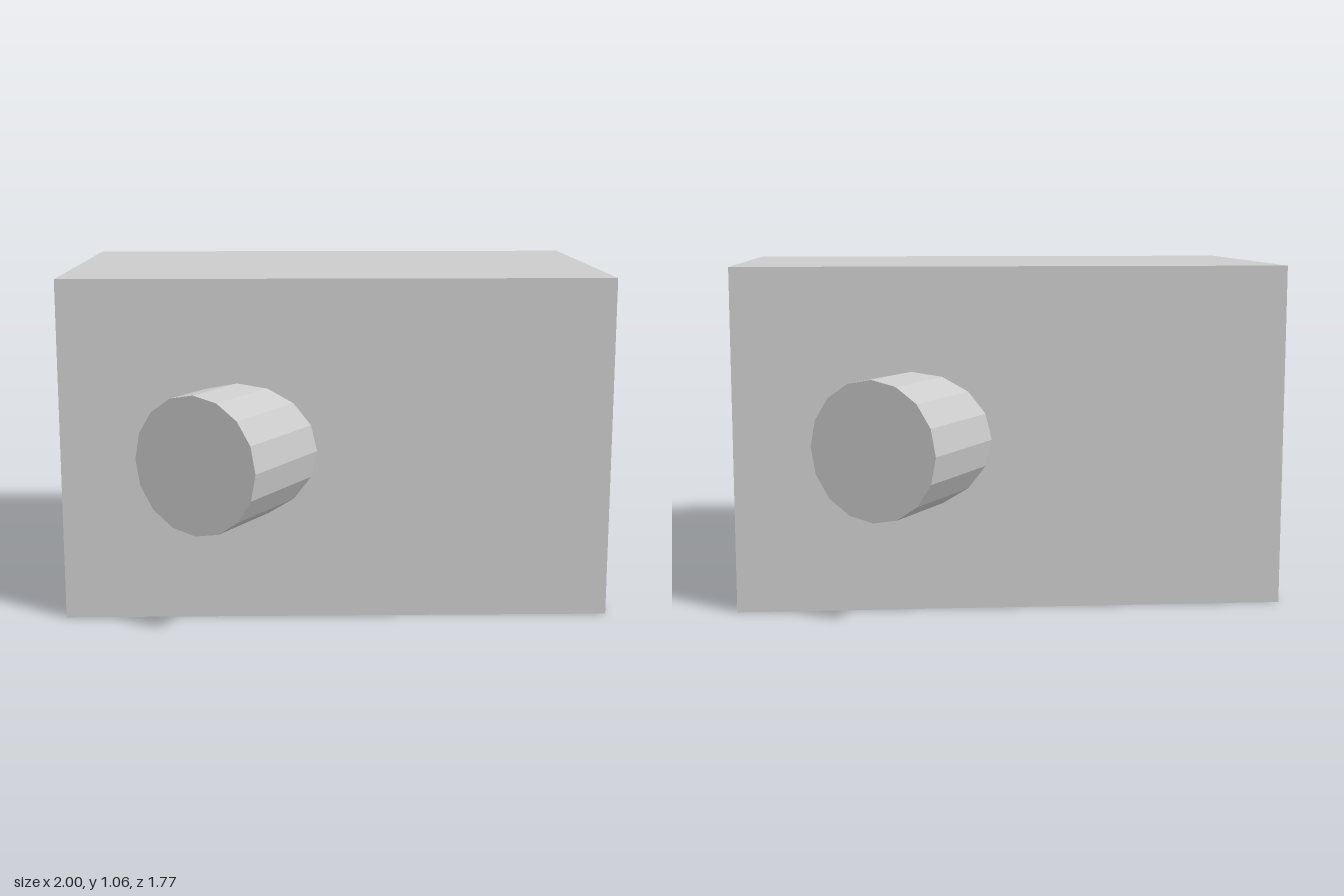
import * as THREE from 'three';

export function createModel() {
  const group = new THREE.Group();
  const material = new THREE.MeshStandardMaterial({ color: 0xcccccc, flatShading: true });
  const length = 1.697, width = 1.061;

  // Block, turned 30 degrees about the vertical
  const block = new THREE.Mesh(new THREE.BoxGeometry(length, width, width), material);
  block.name = 'block';
  block.position.y = width / 2;
  block.rotation.y = Math.PI / 6;

  // Sixteen-sided rod running front to back through the block
  const rod = new THREE.Mesh(new THREE.CylinderGeometry(0.212, 0.212, length, 16), material);
  rod.name = 'rod';
  rod.position.y = width / 2;
  rod.rotation.x = Math.PI / 2;

  group.add(block, rod);
  return group;
}
